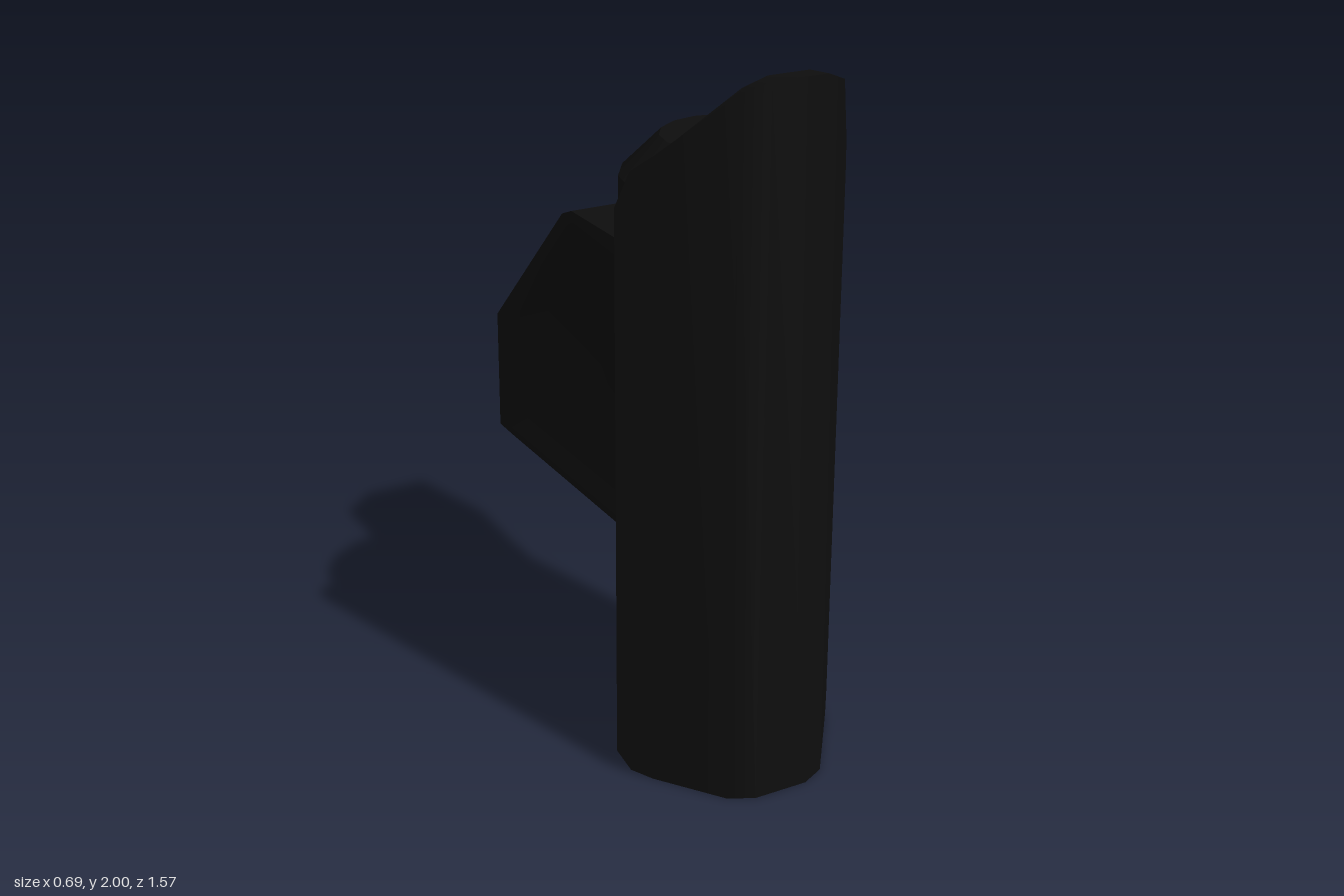
import * as THREE from 'three';
import { toCreasedNormals } from 'three/addons/utils/BufferGeometryUtils.js';

// Skins a row of equal-length point rings, closes both ends and faces it outward.
function loft(rings, crease) {
  const tris = [];
  const n = rings[0].length;
  for (let r = 0; r < rings.length - 1; r++) {
    for (let i = 0; i < n; i++) {
      const j = (i + 1) % n;
      const a = rings[r][i], b = rings[r][j], c = rings[r + 1][j], d = rings[r + 1][i];
      tris.push([a, b, c], [a, c, d]);
    }
  }
  const first = rings[0], last = rings[rings.length - 1];
  for (let i = 1; i < n - 1; i++) {
    tris.push([first[0], first[i + 1], first[i]], [last[0], last[i], last[i + 1]]);
  }
  const v = (p) => new THREE.Vector3(...p);
  const volume = tris.reduce((s, [a, b, c]) => s + v(a).dot(v(b).cross(v(c))), 0);
  const ordered = volume < 0 ? tris.map(([a, b, c]) => [a, c, b]) : tris;
  const geometry = new THREE.BufferGeometry();
  geometry.setAttribute('position', new THREE.Float32BufferAttribute(ordered.flat(2), 3));
  geometry.computeVertexNormals();
  return toCreasedNormals(geometry, crease);
}

export function createModel() {
  const model = new THREE.Group();
  const black = new THREE.MeshStandardMaterial({ color: 0x0e0e0e });
  black.name = 'matte black';
  const add = (name, geometry) => {
    const mesh = new THREE.Mesh(geometry, black);
    mesh.name = name;
    model.add(mesh);
    return mesh;
  };

  // Barrel: chamfered at both ends, with a shallow socket underneath
  const profile = [
    [0, 0.2], [0.17, 0.2], [0.18, 0.115], [0.225, 0.115], [0.285, 0.16],
    [0.285, 1.675], [0.18, 1.78], [0, 1.78],
  ].map(([x, y]) => new THREE.Vector2(x, y));
  add('barrel', toCreasedNormals(new THREE.LatheGeometry(profile, 16), 0.5))
    .position.z = 0.45;

  // Folded front shield: columns of outer x, z, inner x, z, bottom and top
  const half = [
    [0.345, 0.475, 0.307, 0.437, 0.06, 1.64],
    [0.32, 0.51, 0.28, 0.48, 0.01, 1.74],
    [0.28, 0.565, 0.24, 0.535, 0, 1.79],
    [0.15, 0.745, 0.115, 0.70, 0, 1.97],
    [0.08, 0.78, 0.06, 0.727, 0, 2],
  ];
  const mirrored = half.map(([ox, oz, ix, iz, b, t]) => [-ox, oz, -ix, iz, b, t]).reverse();
  const columns = [...half, ...mirrored].map(([ox, oz, ix, iz, b, t]) =>
    [[ox, b, oz], [ox, t, oz], [ix, t, iz], [ix, b, iz]]);
  add('frontShield', loft(columns, 0.5));

  // Rear fin: outlines in z, y, half width, stepping from panel floor to outer edge
  const outline = (x, points) => points.map(([z, y, w = x]) => [w, y, z]);
  const upper = [[-0.785, 0.89], [-0.31, 1.36], [-0.25, 1.385], [0.3, 1.385]];
  const side = [
    outline(0.085, [[0.06, 0.59], [-0.62, 0.59], [-0.62, 0.83], [-0.24, 1.24], [-0.2, 1.25], [0.06, 1.25]]),
    outline(0.105, [[0.11, 0.53], [-0.7, 0.53], [-0.7, 0.87], [-0.27, 1.31], [-0.23, 1.33], [0.11, 1.33]]),
    outline(0.105, [[0.3, 0.51], [-0.785, 0.51], ...upper]),
    outline(0.105, [[0.3, 0.465, 0.065], [-0.785, 0.465, 0.065], ...upper]),
  ];
  const otherSide = side.map((ring) => ring.map(([x, y, z]) => [-x, y, z])).reverse();
  add('rearFin', loft([...side, ...otherSide], 0.3));

  // Slanted peg joining the barrel top to the shield
  const from = new THREE.Vector3(0, 1.7, 0.6);
  const to = new THREE.Vector3(0, 1.88, 0.7);
  const axis = to.clone().sub(from);
  const peg = add('topPeg', new THREE.CylinderGeometry(0.08, 0.08, axis.length(), 16));
  peg.position.copy(from).add(to).multiplyScalar(0.5);
  peg.quaternion.setFromUnitVectors(new THREE.Vector3(0, 1, 0), axis.normalize());

  return model;
}
